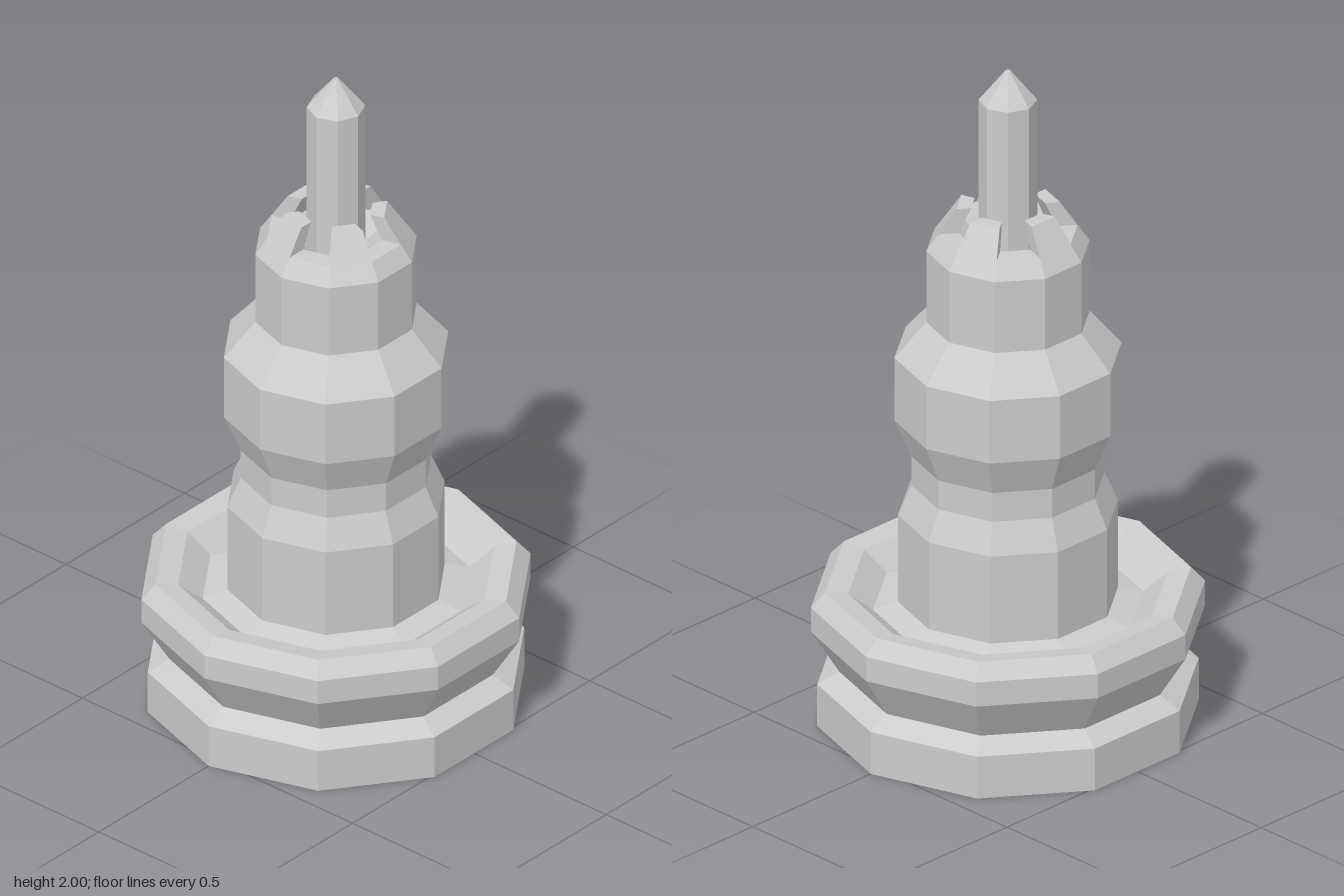
import * as THREE from 'three';

const SIDES = 10;
const STEP = (Math.PI * 2) / SIDES;
const material = new THREE.MeshStandardMaterial({ color: 0xcccccc, flatShading: true });

// Ten-sided turned part from [radius, height] pairs, with a corner on +x
function turned(name, profile) {
  const points = profile.map(([r, y]) => new THREE.Vector2(r, y));
  const mesh = new THREE.Mesh(new THREE.LatheGeometry(points, SIDES, Math.PI / 2), material);
  mesh.name = name;
  return mesh;
}

// One crown tooth: a box bent onto a sector of the sloping collar
function toothGeometry() {
  const geometry = new THREE.BoxGeometry(2, 2, 2);
  const p = geometry.attributes.position;
  for (let i = 0; i < p.count; i++) {
    const top = p.getY(i) > 0, outer = p.getZ(i) > 0;
    const r = top ? (outer ? 0.146 : 0.104) : (outer ? 0.196 : 0.138);
    const a = p.getX(i) * STEP / 2;
    p.setXYZ(i, r * Math.sin(a), top ? 1.58 : 1.505, r * Math.cos(a));
  }
  geometry.computeVertexNormals();
  return geometry;
}

export function createModel() {
  const model = new THREE.Group();
  model.name = 'tower';

  // Plinth, flared rim and the shallow moat inside it
  model.add(turned('base', [
    [0, 0], [0.537, 0], [0.537, 0.13], [0.475, 0.165], [0.555, 0.295],
    [0.555, 0.37], [0.515, 0.415], [0.45, 0.405], [0.38, 0.35], [0.31, 0.37],
  ]));

  // Waisted shaft with a wide drum
  model.add(turned('shaft', [
    [0.31, 0.37], [0.31, 0.64], [0.272, 0.73], [0.272, 0.82],
    [0.32, 0.935], [0.32, 1.13], [0.23, 1.235],
  ]));

  // Upper collar, notch floor and sunken bowl
  model.add(turned('collar', [
    [0.23, 1.235], [0.23, 1.455], [0.196, 1.505], [0.138, 1.505], [0.06, 1.44], [0, 1.44],
  ]));

  // Five teeth around the bowl, one at the back
  const crown = new THREE.Group();
  crown.name = 'crown';
  const tooth = toothGeometry();
  for (let i = 0; i < 5; i++) {
    const mesh = new THREE.Mesh(tooth, material);
    mesh.name = 'crownTooth';
    mesh.rotation.y = Math.PI + i * 2 * STEP;
    crown.add(mesh);
  }
  model.add(crown);

  // Eight-sided spire with a pointed tip
  const spire = new THREE.Mesh(new THREE.CylinderGeometry(0.082, 0.082, 0.47, 8, 1, true), material);
  spire.name = 'spire';
  spire.position.y = 1.675;
  const tip = new THREE.Mesh(new THREE.CylinderGeometry(0.008, 0.082, 0.09, 8), material);
  tip.name = 'spireTip';
  tip.position.y = 1.955;
  model.add(spire, tip);

  return model;
}
